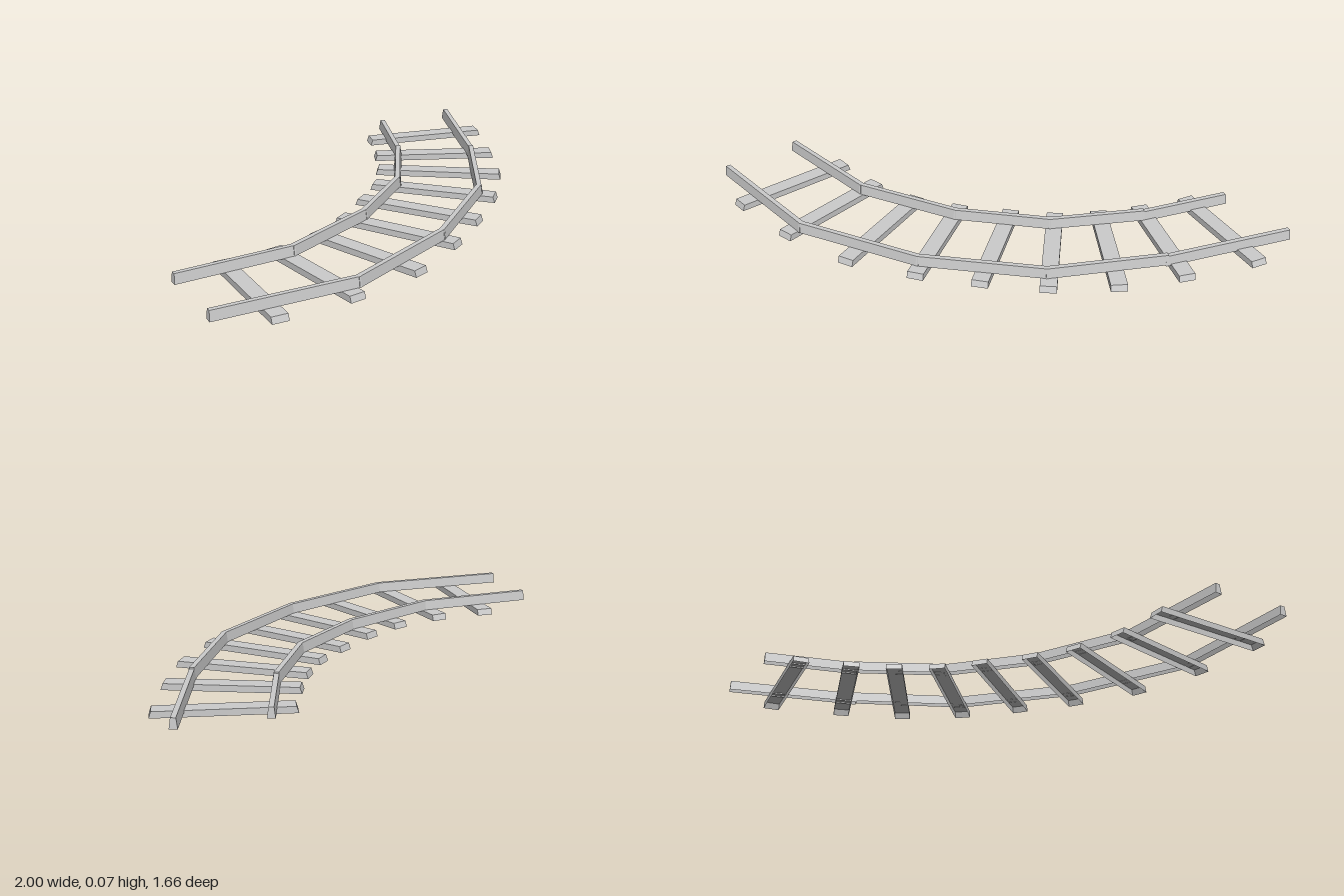
import * as THREE from 'three';

const material = new THREE.MeshStandardMaterial({ color: 0xcccccc, side: THREE.DoubleSide, flatShading: true });

// Open-bottomed beam between two plan points [x, z]; its top is inset on the sides and ends
function beam(name, a, b, width, y0, y1, insetSide, insetEnd) {
  const dx = b[0] - a[0], dz = b[1] - a[1];
  const length = Math.hypot(dx, dz);
  const box = new THREE.BoxGeometry(length, y1 - y0, width);
  const pos = box.attributes.position;
  for (let i = 0; i < pos.count; i++) {
    if (pos.getY(i) > 0) {
      pos.setX(i, pos.getX(i) - Math.sign(pos.getX(i)) * insetEnd);
      pos.setZ(i, pos.getZ(i) - Math.sign(pos.getZ(i)) * insetSide);
    }
  }
  // drop the underside
  const index = Array.from(box.index.array);
  index.splice(18, 6);
  box.setIndex(index);
  const geometry = box.toNonIndexed();
  geometry.computeVertexNormals();
  const mesh = new THREE.Mesh(geometry, material);
  mesh.name = name;
  mesh.position.set((a[0] + b[0]) / 2, (y0 + y1) / 2, (a[1] + b[1]) / 2);
  mesh.rotation.y = -Math.atan2(dz, dx);
  return mesh;
}

// Rail made of straight segments that overlap a little at the joints
function rail(name, points) {
  const group = new THREE.Group();
  group.name = name;
  const last = points.length - 2;
  for (let i = 0; i <= last; i++) {
    const [a, b] = [points[i], points[i + 1]];
    const length = Math.hypot(b[0] - a[0], b[1] - a[1]);
    const ux = (b[0] - a[0]) / length, uz = (b[1] - a[1]) / length;
    const lapA = i > 0 ? 0.008 : 0, lapB = i < last ? 0.008 : 0;
    const drop = i === last ? 0.005 : 0; // end segment sits slightly lower
    group.add(beam('railSegment',
      [a[0] - ux * lapA, a[1] - uz * lapA],
      [b[0] + ux * lapB, b[1] + uz * lapB],
      0.033, 0.026 - drop, 0.07 - drop, 0.006, 0.002));
  }
  return group;
}

export function createModel() {
  const model = new THREE.Group();
  model.name = 'curvedTrack';

  // Rails
  model.add(rail('outerRail', [[-1, 0.735], [-0.39, 0.735], [0.12, 0.5], [0.52, 0.15], [0.755, -0.29], [0.94, -0.83]]));
  model.add(rail('innerRail', [[-1, 0.385], [-0.485, 0.36], [-0.06, 0.165], [0.25, -0.1], [0.45, -0.45], [0.575, -0.83]]));

  // Sleepers: inner end x, z, then outer end x, z
  const sleepers = [
    [-0.755, 0.265, -0.755, 0.828],
    [-0.522, 0.25, -0.423, 0.803],
    [-0.307, 0.185, -0.098, 0.715],
    [-0.135, 0.08, 0.168, 0.555],
    [0.037, -0.065, 0.378, 0.387],
    [0.175, -0.195, 0.582, 0.198],
    [0.28, -0.35, 0.755, -0.03],
    [0.36, -0.515, 0.877, -0.293],
    [0.438, -0.717, 0.988, -0.6],
  ];
  for (const [x0, z0, x1, z1] of sleepers) {
    model.add(beam('sleeper', [x0, z0], [x1, z1], 0.07, 0, 0.027, 0, 0.009));
  }
  return model;
}
